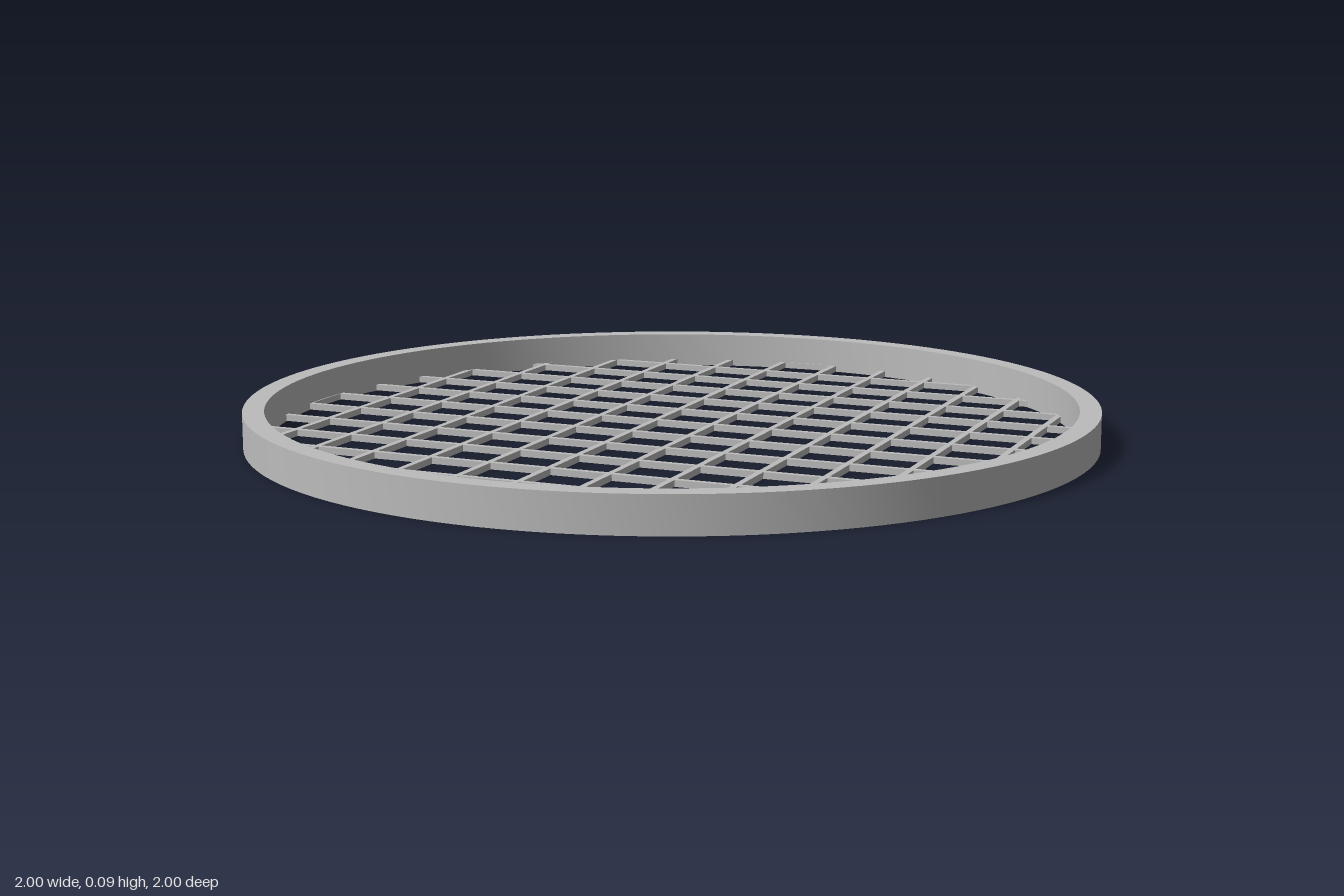
import * as THREE from 'three';
import { toCreasedNormals } from 'three/addons/utils/BufferGeometryUtils.js';

const OUTER = 1, INNER = 0.95, HEIGHT = 0.085;
const PITCH = 0.1467, BARS = 14, BAR = 0.015;

export function createModel() {
  const model = new THREE.Group();
  model.name = 'roundGrate';
  const steel = new THREE.MeshStandardMaterial({ color: 0xbcbcbc });
  steel.name = 'steel grey';

  // Outer hoop with a rectangular section
  const section = [[INNER, 0], [OUTER, 0], [OUTER, HEIGHT], [INNER, HEIGHT], [INNER, 0]]
    .map(([r, y]) => new THREE.Vector2(r, y));
  const rim = new THREE.Mesh(toCreasedNormals(new THREE.LatheGeometry(section, 128), 0.6), steel);
  rim.name = 'rim';
  model.add(rim);

  // Crossed square bars near the bottom, their ends buried in the hoop
  const lengthwise = new THREE.Group();
  lengthwise.name = 'lengthwiseBars';
  const crosswise = new THREE.Group();
  crosswise.name = 'crosswiseBars';
  for (let i = 0; i < BARS; i++) {
    const offset = (i - (BARS - 1) / 2) * PITCH;
    const length = 2 * Math.sqrt(0.975 ** 2 - offset ** 2);
    const along = new THREE.Mesh(new THREE.BoxGeometry(BAR, BAR, length), steel);
    along.position.set(offset, 0.001 + BAR / 2, 0);
    along.name = 'lengthwiseBar';
    lengthwise.add(along);
    const across = new THREE.Mesh(new THREE.BoxGeometry(length, BAR, BAR), steel);
    across.position.set(0, 0.001 + BAR / 2, offset);
    across.name = 'crosswiseBar';
    crosswise.add(across);
  }
  model.add(lengthwise, crosswise);
  return model;
}
